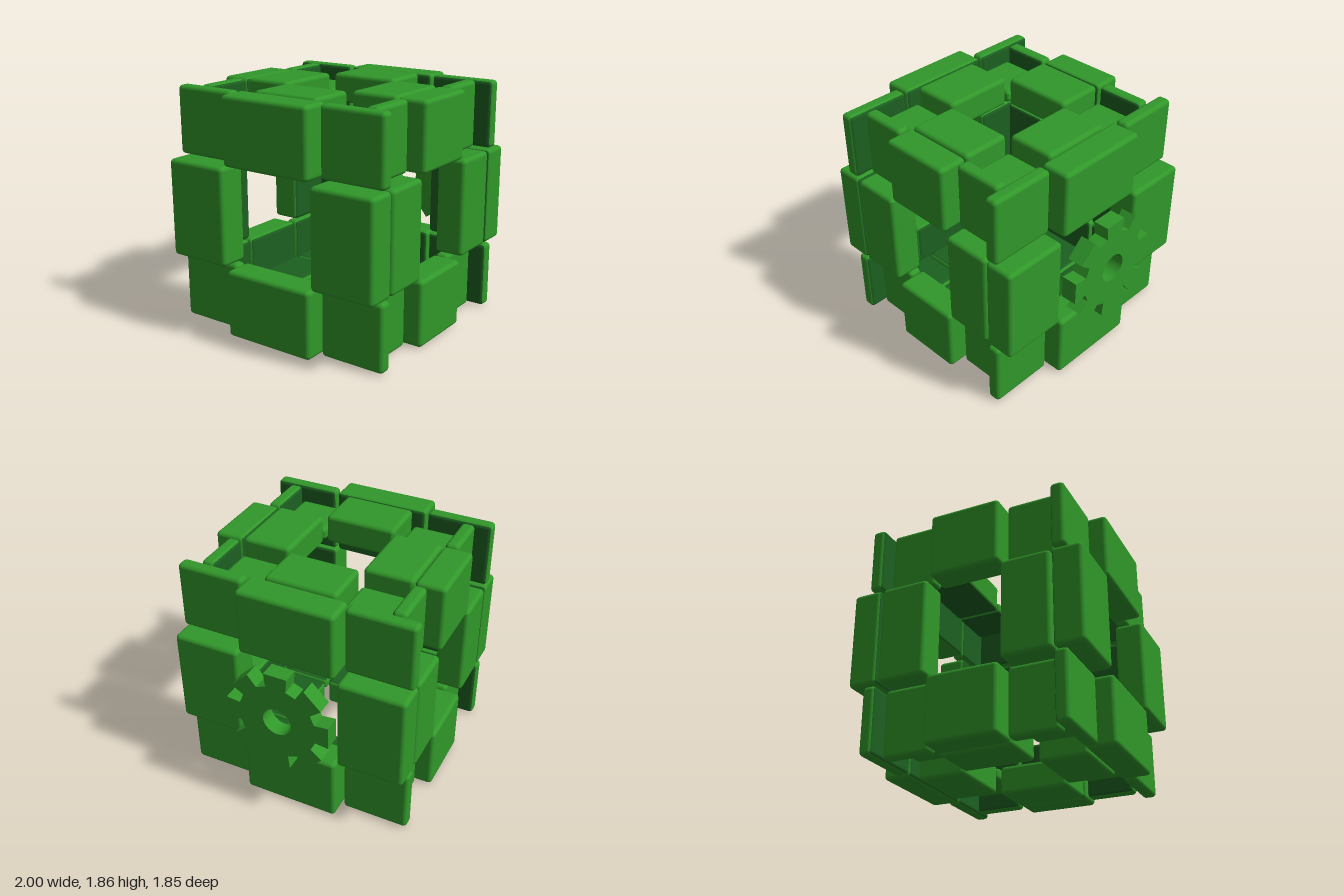
import * as THREE from 'three';
import { RoundedBoxGeometry } from 'three/addons/geometries/RoundedBoxGeometry.js';

const green = new THREE.MeshStandardMaterial({ color: 0x31982a });
green.name = 'green';
const darkGreen = new THREE.MeshStandardMaterial({ color: 0x1c6020 });
darkGreen.name = 'darkGreen';

// Ranges along one axis for the three rows of a face: -1, 0, 1
const wide = { mid: 0.382, near: 0.398, far: 0.924 };
const narrow = { mid: 0.283, near: 0.298, far: 0.683 };
function range(span, i) {
  return i === 0 ? [-span.mid, span.mid] : i > 0 ? [span.near, span.far] : [-span.far, -span.near];
}

// Rounded block filling three ranges [min, max]; the side facing the hollow is dark
function block(name, ranges, axis, sign) {
  const size = ranges.map(([a, b]) => b - a);
  const sides = Array(6).fill(green); // +x, -x, +y, -y, +z, -z
  sides[axis * 2 + (sign > 0 ? 1 : 0)] = darkGreen;
  const mesh = new THREE.Mesh(new RoundedBoxGeometry(...size, 3, 0.032), sides);
  mesh.position.set(...ranges.map(([a, b]) => (a + b) / 2));
  mesh.name = name;
  return mesh;
}

// Ring of eight blocks on a face: four thick edge blocks, four thin recessed corners
function face(name, axis, sign, spans, depth) {
  const group = new THREE.Group();
  group.name = name;
  const [u, v] = [0, 1, 2].filter((a) => a !== axis);
  for (let i = -1; i <= 1; i++) {
    for (let j = -1; j <= 1; j++) {
      if (i === 0 && j === 0) continue;
      const corner = i !== 0 && j !== 0;
      const outer = corner ? depth.corner : depth.edge;
      const r = [];
      r[axis] = sign > 0 ? [depth.inner, outer] : [-outer, -depth.inner];
      r[u] = range(spans[u], i);
      r[v] = range(spans[v], j);
      group.add(block(corner ? 'cornerBlock' : 'edgeBlock', r, axis, sign));
    }
  }
  return group;
}

// Eight flared teeth around a disc with a round hole
function gear() {
  const shape = new THREE.Shape();
  for (let i = 0; i < 8; i++) {
    const a = (i * Math.PI) / 4;
    const c = Math.cos(a), s = Math.sin(a);
    for (const [r, w] of [[0.30, -0.08], [0.41, -0.092], [0.41, 0.092], [0.30, 0.08]]) {
      const x = r * c - w * s, y = r * s + w * c;
      if (i === 0 && r === 0.30 && w < 0) shape.moveTo(x, y);
      else shape.lineTo(x, y);
    }
  }
  shape.closePath();
  const hole = new THREE.Path();
  hole.absarc(0, 0, 0.113, 0, Math.PI * 2, true);
  shape.holes.push(hole);
  const geo = new THREE.ExtrudeGeometry(shape, { depth: 0.125, bevelEnabled: false, curveSegments: 32 });
  geo.rotateY(Math.PI / 2);
  const mesh = new THREE.Mesh(geo, green);
  mesh.name = 'gear';
  mesh.position.set(0.875, 0.93, 0);
  return mesh;
}

export function createModel() {
  const model = new THREE.Group();
  model.name = 'blockCube';

  // Hollow cube of six block rings
  const cube = new THREE.Group();
  cube.name = 'cube';
  cube.position.set(-0.072, 0.93, 0);
  const xDepth = { inner: 0.693, corner: 0.80, edge: 0.927 };
  const yDepth = { inner: 0.70, corner: 0.80, edge: 0.93 };
  const zDepth = { inner: 0.69, corner: 0.797, edge: 0.924 };
  cube.add(
    face('leftFace', 0, 1, [null, wide, wide], xDepth),
    face('rightFace', 0, -1, [null, wide, wide], xDepth),
    face('topFace', 1, 1, [narrow, null, narrow], yDepth),
    face('bottomFace', 1, -1, [narrow, null, narrow], yDepth),
    face('frontFace', 2, 1, [narrow, wide, null], zDepth),
    face('backFace', 2, -1, [narrow, wide, null], zDepth),
  );

  model.add(cube, gear());
  return model;
}
